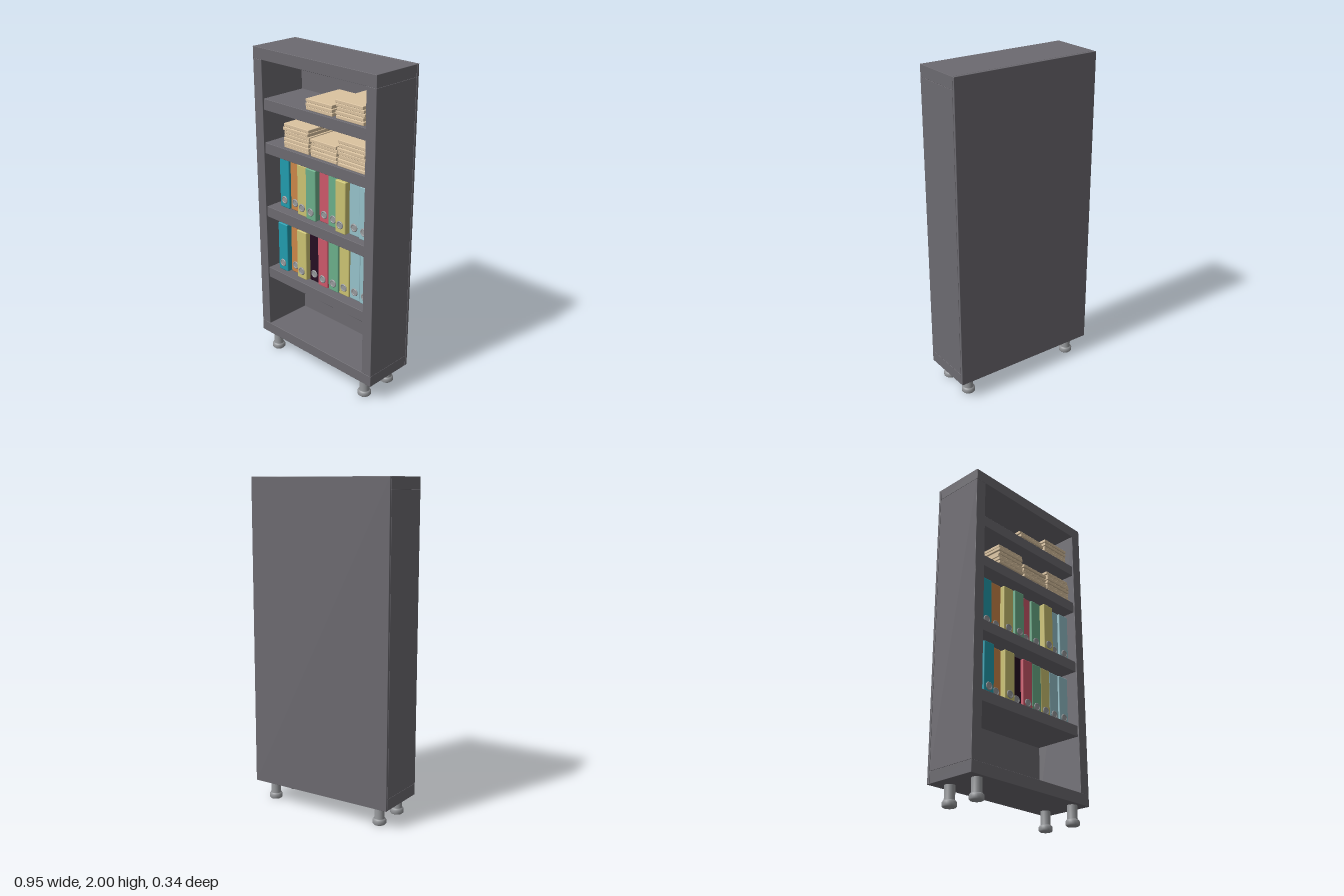
import * as THREE from 'three';
import { RoundedBoxGeometry } from 'three/addons/geometries/RoundedBoxGeometry.js';

const material = (name, color) => {
  const m = new THREE.MeshStandardMaterial({ color });
  m.name = name;
  return m;
};

export function createModel() {
  const model = new THREE.Group();
  model.name = 'bookcase';

  const frame = material('charcoal', 0x6c6a70);
  const metal = material('metal', 0x97999c);
  const paper = material('paper', 0xdbc3a0);
  const teal = material('teal', 0x219bad);
  const orange = material('orange', 0xcb8648);
  const yellow = material('yellow', 0xcbc272);
  const green = material('green', 0x6bae8a);
  const red = material('red', 0xcc586a);
  const black = material('black', 0x260e22);
  const sky = material('paleBlue', 0x95c1ca);

  const add = (parent, name, geometry, mat, x, y, z) => {
    const mesh = new THREE.Mesh(geometry, mat);
    mesh.name = name;
    mesh.position.set(x, y, z);
    parent.add(mesh);
    return mesh;
  };
  // Box given by its limits on each axis
  const slab = (parent, name, mat, [x0, x1], [y0, y1], [z0, z1], radius = 0) => {
    const size = [x1 - x0, y1 - y0, z1 - z0];
    const geometry = radius ? new RoundedBoxGeometry(...size, 2, radius) : new THREE.BoxGeometry(...size);
    return add(parent, name, geometry, mat, (x0 + x1) / 2, (y0 + y1) / 2, (z0 + z1) / 2);
  };

  // Carcass
  const depth = [-0.152, 0.167];
  slab(model, 'topBoard', frame, [-0.475, 0.475], [1.93, 2], depth, 0.002);
  slab(model, 'bottomBoard', frame, [-0.475, 0.475], [0.12, 0.19], depth, 0.002);
  slab(model, 'rightSide', frame, [-0.475, -0.405], [0.19, 1.93], depth, 0.002);
  slab(model, 'leftSide', frame, [0.405, 0.475], [0.19, 1.93], depth, 0.002);
  slab(model, 'backPanel', frame, [-0.475, 0.475], [0.12, 2], [-0.17, -0.154], 0.002);

  // Shelves, by the height of their top face
  const shelfTops = [0.6, 1.02, 1.433, 1.702];
  for (const top of shelfTops) {
    slab(model, 'shelf', frame, [-0.403, 0.403], [top - 0.068, top], [-0.152, 0.16], 0.002);
  }

  // Adjustable feet
  const footProfile = [
    [0, 0], [0.034, 0], [0.041, 0.007], [0.041, 0.027], [0.035, 0.036], [0.03, 0.037], [0.03, 0.12],
  ].map(([r, y]) => new THREE.Vector2(r, y));
  const footGeometry = new THREE.LatheGeometry(footProfile, 28);
  for (const x of [-0.383, 0.383]) {
    for (const z of [-0.09, 0.115]) add(model, 'foot', footGeometry, metal, x, 0, z);
  }

  // Ring binders: each has a finger hole with a metal rim on its spine
  const rimGeometry = new THREE.TorusGeometry(0.02, 0.005, 8, 24);
  const discGeometry = new THREE.CylinderGeometry(0.019, 0.019, 0.004, 24).rotateX(Math.PI / 2);
  const binderRow = (y, mats, recess) => {
    mats.forEach((mat, i) => {
      const x = -0.31 + i * 0.0831;
      const front = 0.167 - recess[i];
      const binder = new THREE.Group();
      binder.name = 'binder';
      slab(binder, 'cover', mat, [x - 0.04, x + 0.04], [y, y + 0.32], [front - 0.22, front], 0.006);
      add(binder, 'fingerRim', rimGeometry, metal, x, y + 0.052, front + 0.001);
      add(binder, 'fingerHole', discGeometry, metal, x, y + 0.052, front + 0.001);
      model.add(binder);
    });
  };
  binderRow(shelfTops[0], [teal, orange, yellow, black, red, green, yellow, sky, sky],
    [0.045, 0.075, 0.045, 0.073, 0.06, 0.065, 0.07, 0.075, 0.07]);
  binderRow(shelfTops[1], [teal, orange, yellow, green, red, green, yellow, sky, sky],
    [0.07, 0.08, 0.055, 0.045, 0.075, 0.065, 0.035, 0.065, 0.055]);

  // Stacks of paper folders, each slightly out of line with the next
  const pitch = 0.0215;
  const folderStack = (x, y, count, z) => {
    const stack = new THREE.Group();
    stack.name = 'folderStack';
    for (let i = 0; i < count; i++) {
      const dx = x + 0.004 * Math.sin(i * 2.3 + x * 9);
      const dz = z + 0.005 * Math.sin(i * 1.7 + x * 5);
      const y0 = y + i * pitch;
      slab(stack, 'folder', paper, [dx - 0.102, dx + 0.102], [y0, y0 + 0.0195], [dz - 0.135, dz + 0.135], 0.003);
      if (i < count - 1) {
        slab(stack, 'folderFill', paper, [x - 0.094, x + 0.094], [y0 + 0.018, y0 + pitch + 0.001], [z - 0.126, z + 0.126]);
      }
    }
    model.add(stack);
  };
  folderStack(-0.155, shelfTops[2], 7, 0.005);
  folderStack(0.064, shelfTops[2], 5, 0.003);
  folderStack(0.28, shelfTops[2], 7, 0.005);
  folderStack(0.032, shelfTops[3], 3, 0.005);
  folderStack(0.263, shelfTops[3], 5, 0.003);

  return model;
}
